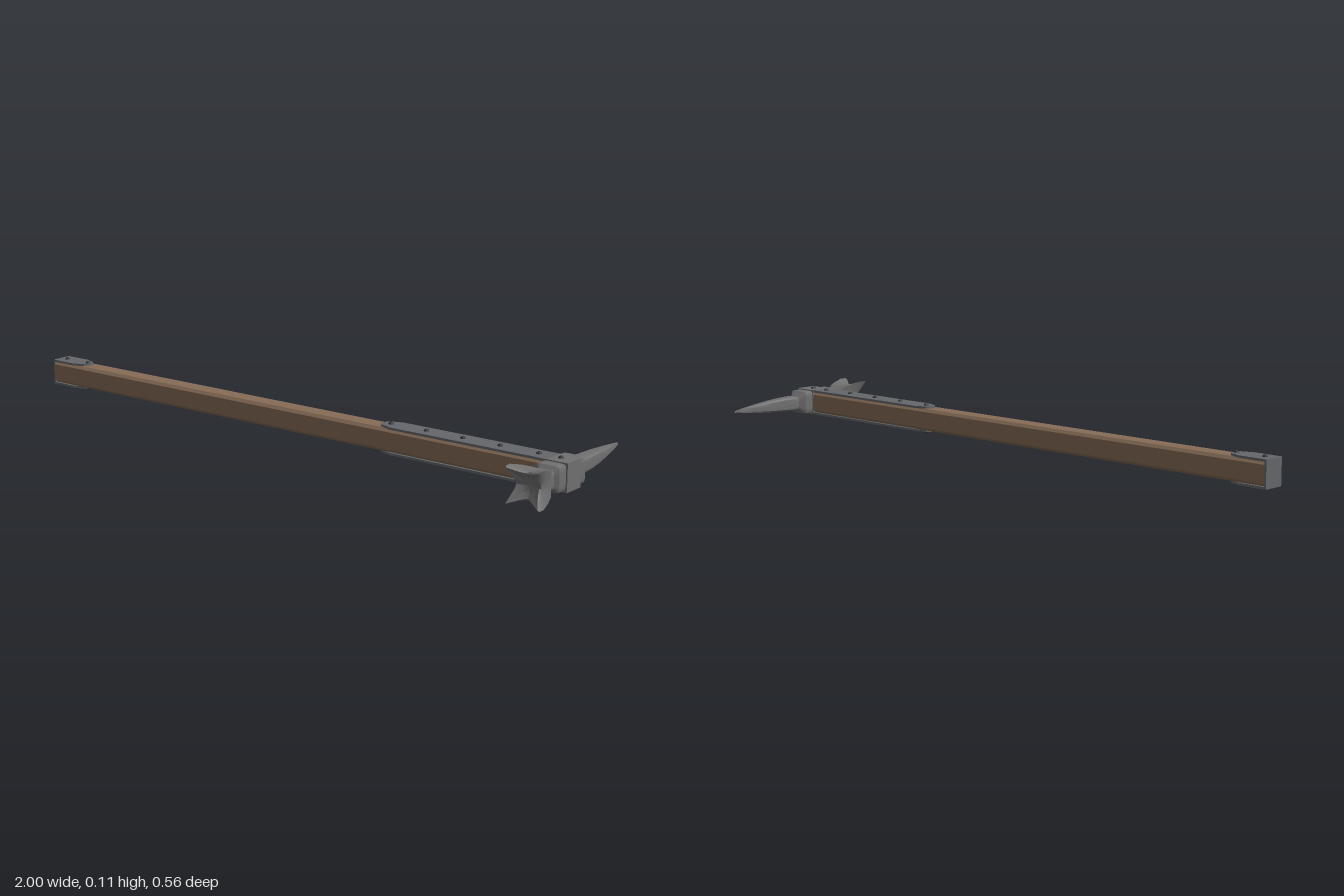
import * as THREE from 'three';
import { toCreasedNormals } from 'three/addons/utils/BufferGeometryUtils.js';

const CY = 0.054, CZ = 0.085, HEAD_X = 0.945;

const mat = (name, color) => {
  const m = new THREE.MeshStandardMaterial({ color });
  m.name = name;
  return m;
};

// Loft of squarish rings running toward -z: [z, centreX, halfX, halfY, pinch, round, cornerPush]
function loft(rings, n = 8) {
  const pos = [], idx = [], count = 4 * n;
  for (const [z, cx, hx, hy, pinch = 0, round = 0, push = 0] of rings) {
    for (let k = 0; k < count; k++) {
      const t = -1 + 2 * (k % n) / n;
      const [u, v] = [[1, t], [-t, 1], [-1, -t], [t, -1]][Math.floor(k / n)];
      const m = Math.abs(t);
      const s = 1 - pinch * (1 - m * m) - round * m ** 6;
      pos.push(cx + u * hx * s, CY + v * hy * s, z + push * m ** 1.4);
    }
  }
  for (let i = 0; i < rings.length - 1; i++) {
    for (let k = 0; k < count; k++) {
      const a = i * count + k, b = i * count + (k + 1) % count;
      idx.push(a, a + count, b, b, a + count, b + count);
    }
  }
  const g = new THREE.BufferGeometry();
  g.setAttribute('position', new THREE.Float32BufferAttribute(pos, 3));
  g.setIndex(idx);
  return toCreasedNormals(g, 0.55);
}

export function createModel() {
  const group = new THREE.Group();
  const wood = mat('wood', 0x866c57);
  const steel = mat('steel', 0x707070);
  const strapSteel = mat('strapSteel', 0x64676a);
  const rivetSteel = mat('rivetSteel', 0x303236);

  const add = (name, geo, material, x = 0, y = 0, z = 0) => {
    const mesh = new THREE.Mesh(geo, material);
    mesh.name = name;
    mesh.position.set(x, y, z);
    group.add(mesh);
    return mesh;
  };

  // Chamfered wooden shaft
  const h = 0.035, c = 0.026;
  const section = new THREE.Shape([[h, -c], [h, c], [c, h], [-c, h], [-h, c], [-h, -c], [-c, -h], [c, -h]]
    .map(p => new THREE.Vector2(...p)));
  const shaftGeo = new THREE.ExtrudeGeometry(section, { depth: 1.905, bevelEnabled: false });
  shaftGeo.rotateY(Math.PI / 2);
  add('shaft', shaftGeo, wood, -0.995, CY, CZ);

  // Metal straps with a tapered, rounded tip, on the top and the bottom
  const strap = (square, tip) => {
    const d = Math.sign(tip - square), w = 0.035;
    const s = new THREE.Shape();
    s.moveTo(square, -w);
    s.lineTo(tip - d * 0.05, -w);
    s.lineTo(tip - d * 0.01, -0.021);
    s.quadraticCurveTo(tip + d * 0.008, 0, tip - d * 0.01, 0.021);
    s.lineTo(tip - d * 0.05, w);
    s.lineTo(square, w);
    const g = new THREE.ExtrudeGeometry(s, { depth: 0.007, bevelEnabled: false });
    return g.rotateX(-Math.PI / 2);
  };
  const longStrap = strap(0.92, 0.345), buttStrap = strap(-1, -0.86);
  const rivetGeo = new THREE.SphereGeometry(0.008, 12, 8);
  rivetGeo.scale(1, 0.8, 1);
  for (const side of [1, -1]) {
    const y = side > 0 ? CY + 0.0345 : CY - 0.0415;
    const label = side > 0 ? 'top' : 'bottom';
    add(label + 'Strap', longStrap, strapSteel, 0, y, CZ);
    add(label + 'ButtStrap', buttStrap, strapSteel, 0, y, CZ);
    for (const x of [-0.97, -0.873, 0.375, 0.5, 0.625, 0.75, 0.875, HEAD_X]) {
      add('rivet', rivetGeo, rivetSteel, x, CY + side * 0.0415, CZ);
    }
  }

  // Plate closing the butt, and the band around the head
  add('buttCap', new THREE.BoxGeometry(0.006, 0.082, 0.07), strapSteel, -0.997, CY, CZ);
  add('headBand', new THREE.BoxGeometry(0.084, 0.083, 0.071), steel, 0.9455, CY, CZ);

  // Four-pronged hammer face, neck and square block
  const X = HEAD_X;
  add('hammerHead', loft([
    [0.238, X, 0.0005, 0.0005],
    [0.24, X, 0.022, 0.022, 0.2, 0.1, 0.008],
    [0.25, X, 0.05, 0.05, 0.3, 0, 0.03],
    [0.246, X, 0.0535, 0.0535, 0.27, 0, 0.03],
    [0.232, X, 0.054, 0.054, 0.25, 0, 0.024],
    [0.21, X, 0.046, 0.046, 0.16, 0.02, 0.008],
    [0.193, X, 0.0385, 0.0385, 0.06, 0.04],
    [0.182, X, 0.029, 0.029, 0, 0.08],
    [0.174, X, 0.0265, 0.0265, 0, 0.1],
    [0.165, X, 0.028, 0.028, 0, 0.1],
    [0.154, X, 0.038, 0.038, 0, 0.08],
    [0.02, X, 0.038, 0.038, 0, 0.08],
    [0, X - 0.003, 0.022, 0.021, 0, 0.08],
  ]), steel);

  // Curved back spike
  add('spike', loft([
    [0.002, X - 0.003, 0.022, 0.021, 0, 0.1],
    [-0.02, 0.941, 0.023, 0.0235, 0, 0.12],
    [-0.06, 0.939, 0.0215, 0.0225, 0, 0.14],
    [-0.11, 0.935, 0.0185, 0.0195, 0, 0.16],
    [-0.16, 0.930, 0.0145, 0.0155, 0, 0.18],
    [-0.21, 0.924, 0.010, 0.0105, 0, 0.2],
    [-0.25, 0.919, 0.006, 0.006, 0, 0.2],
    [-0.272, 0.916, 0.003, 0.003, 0, 0.2],
    [-0.28, 0.914, 0.0005, 0.0005],
  ]), steel);

  return group;
}
